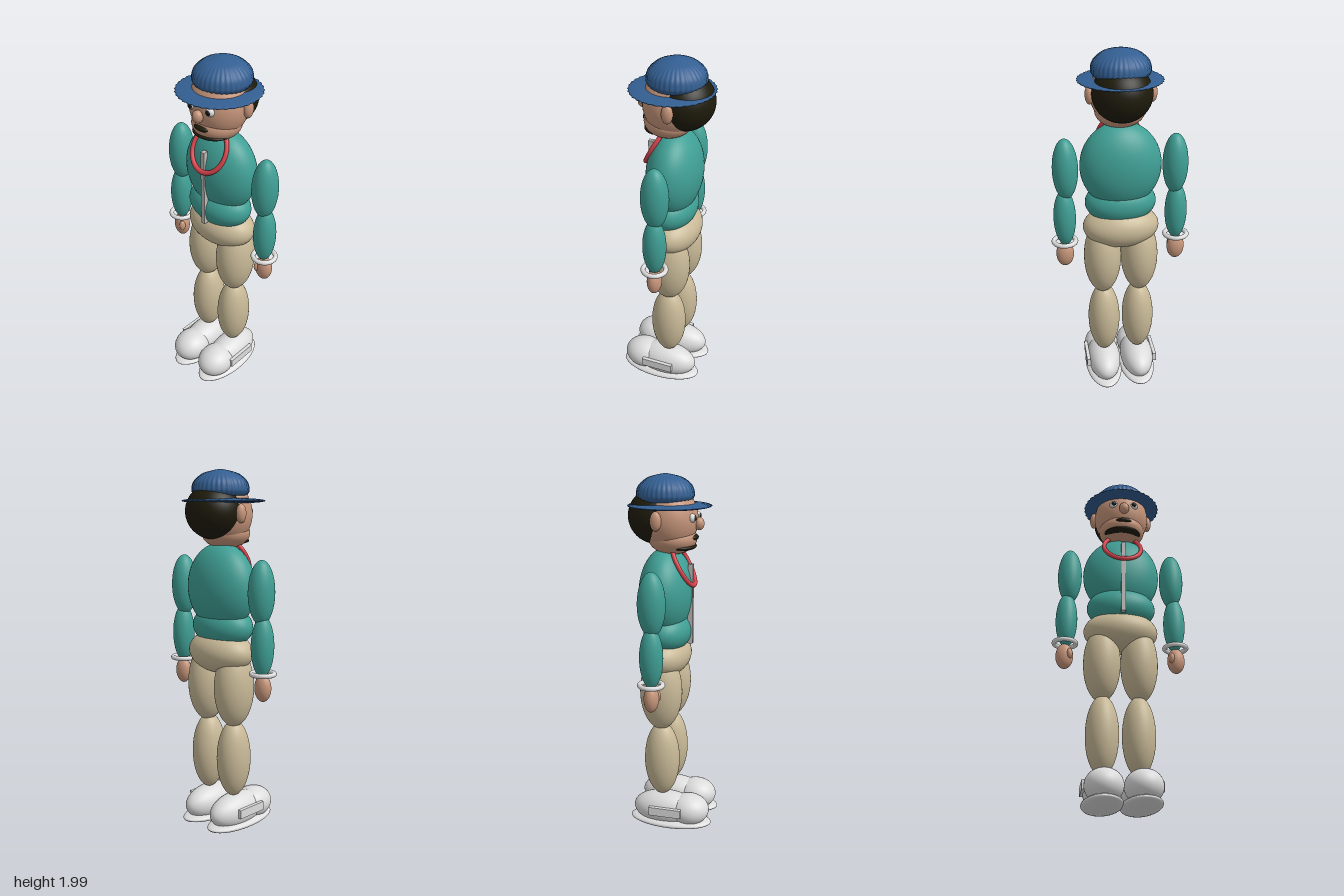
import * as THREE from 'three';
import { mergeVertices } from 'three/addons/utils/BufferGeometryUtils.js';

const mat = (name, color, extra = {}) => new THREE.MeshStandardMaterial({ name, color, ...extra });

export function createModel() {
  const teal = mat('teal', 0x3f9f95);
  const tan = mat('tan', 0xc8b997);
  const white = mat('white', 0xdcdcdc);
  const skin = mat('skin', 0xc6957a);
  const blue = mat('blue', 0x335f92, { side: THREE.DoubleSide });
  const hairColor = mat('darkBrown', 0x1e1b0b);
  const red = mat('red', 0xd8434c);
  const black = mat('black', 0x151515);
  const grey = mat('grey', 0xbdbbb8);

  const model = new THREE.Group();
  model.name = 'figure';
  const ball = new THREE.SphereGeometry(1, 40, 28);

  function add(name, geometry, material, [x, y, z], parent = model) {
    const mesh = new THREE.Mesh(geometry, material);
    mesh.name = name;
    mesh.position.set(x, y, z);
    parent.add(mesh);
    return mesh;
  }
  function blob(name, material, position, radii, parent) {
    const mesh = add(name, ball, material, position, parent);
    mesh.scale.set(...radii);
    return mesh;
  }
  // Spun profile with gently scalloped sides
  function fluted(points, lobes, amount) {
    const profile = points.map(([r, y]) => new THREE.Vector2(r, y));
    const g = new THREE.LatheGeometry(profile, lobes * 6);
    const p = g.attributes.position;
    for (let i = 0; i < p.count; i++) {
      const x = p.getX(i), z = p.getZ(i);
      const k = 1 + amount * Math.cos(lobes * Math.atan2(x, z));
      p.setX(i, x * k);
      p.setZ(i, z * k);
    }
    g.deleteAttribute('uv');
    g.deleteAttribute('normal');
    const merged = mergeVertices(g, 1e-5);
    merged.computeVertexNormals();
    return merged;
  }

  // Torso
  blob('chest', teal, [0, 1.375, -0.04], [0.22, 0.24, 0.145]);
  blob('waist', teal, [0, 1.16, -0.03], [0.195, 0.12, 0.132]);
  blob('hips', tan, [0, 1.02, -0.045], [0.21, 0.12, 0.14]);
  add('zipper', new THREE.BoxGeometry(0.024, 0.44, 0.028), grey, [0, 1.31, 0.095]);
  const collar = add('collar', new THREE.TorusGeometry(0.108, 0.012, 14, 64), red, [0, 1.525, 0.055]);
  collar.rotation.x = -0.5;
  collar.scale.y = 1.13;

  // Head
  const head = new THREE.Group();
  head.name = 'head';
  model.add(head);
  blob('skull', skin, [0, 1.765, -0.02], [0.158, 0.175, 0.15], head);
  blob('jaw', skin, [0, 1.665, -0.005], [0.133, 0.085, 0.13], head);
  blob('hair', hairColor, [0, 1.78, -0.093], [0.156, 0.148, 0.152], head);
  blob('nose', skin, [0, 1.745, 0.138], [0.029, 0.034, 0.027], head);
  blob('mouth', hairColor, [0, 1.673, 0.11], [0.048, 0.017, 0.024], head);
  blob('beard', hairColor, [0, 1.624, 0.04], [0.106, 0.022, 0.083], head);
  for (const s of [-1, 1]) {
    blob('ear', skin, [s * 0.162, 1.77, -0.055], [0.024, 0.05, 0.03], head);
    blob('eye', white, [s * 0.06, 1.78, 0.111], [0.024, 0.024, 0.022], head);
    blob('pupil', black, [s * 0.06, 1.78, 0.125], [0.015, 0.015, 0.012], head);
  }

  // Hat
  const hat = new THREE.Group();
  hat.name = 'hat';
  model.add(hat);
  const brim = [];
  for (let i = 0; i <= 24; i++) {
    const a = -Math.PI / 2 + (Math.PI * i) / 24;
    brim.push([0.222 * Math.cos(a), 0.016 * Math.sin(a)]);
  }
  add('hatBrim', fluted(brim, 36, 0.013), blue, [0, 1.835, -0.022], hat);
  const crownCurve = new THREE.SplineCurve([
    [0.136, 1.86], [0.148, 1.875], [0.153, 1.895], [0.142, 1.935], [0.1, 1.973], [0.05, 1.99], [0, 2],
  ].map(([r, y]) => new THREE.Vector2(r, y)));
  const crown = crownCurve.getPoints(28).map((v) => [Math.max(v.x, 0), v.y]);
  add('hatCrown', fluted(crown, 36, 0.012), blue, [0, 0, -0.045], hat);

  // Limbs, mirrored
  for (const s of [-1, 1]) {
    const arm = new THREE.Group();
    arm.name = s > 0 ? 'leftArm' : 'rightArm';
    model.add(arm);
    blob('upperArm', teal, [s * 0.297, 1.367, -0.042], [0.069, 0.17, 0.074], arm);
    blob('forearm', teal, [s * 0.308, 1.085, -0.042], [0.061, 0.165, 0.063], arm);
    const cuff = add('cuff', new THREE.TorusGeometry(0.061, 0.013, 14, 48), white, [s * 0.312, 0.94, -0.042], arm);
    cuff.rotation.x = Math.PI / 2;
    blob('hand', skin, [s * 0.313, 0.862, -0.042], [0.049, 0.074, 0.04], arm);
    blob('thumb', skin, [s * 0.286, 0.87, -0.018], [0.017, 0.032, 0.022], arm);

    const leg = new THREE.Group();
    leg.name = s > 0 ? 'leftLeg' : 'rightLeg';
    model.add(leg);
    blob('thigh', tan, [s * 0.104, 0.83, -0.045], [0.104, 0.222, 0.118], leg);
    blob('shin', tan, [s * 0.099, 0.42, -0.042], [0.091, 0.22, 0.1], leg);
    blob('shoeBody', white, [s * 0.1, 0.11, -0.02], [0.097, 0.1, 0.19], leg);
    blob('shoeToe', white, [s * 0.1, 0.115, 0.115], [0.101, 0.09, 0.118], leg);
    blob('shoeSole', white, [s * 0.1, 0.04, 0.008], [0.108, 0.033, 0.238], leg);
    add('shoePatch', new THREE.BoxGeometry(0.02, 0.05, 0.185), white, [s * 0.199, 0.126, -0.003], leg);
  }
  return model;
}
